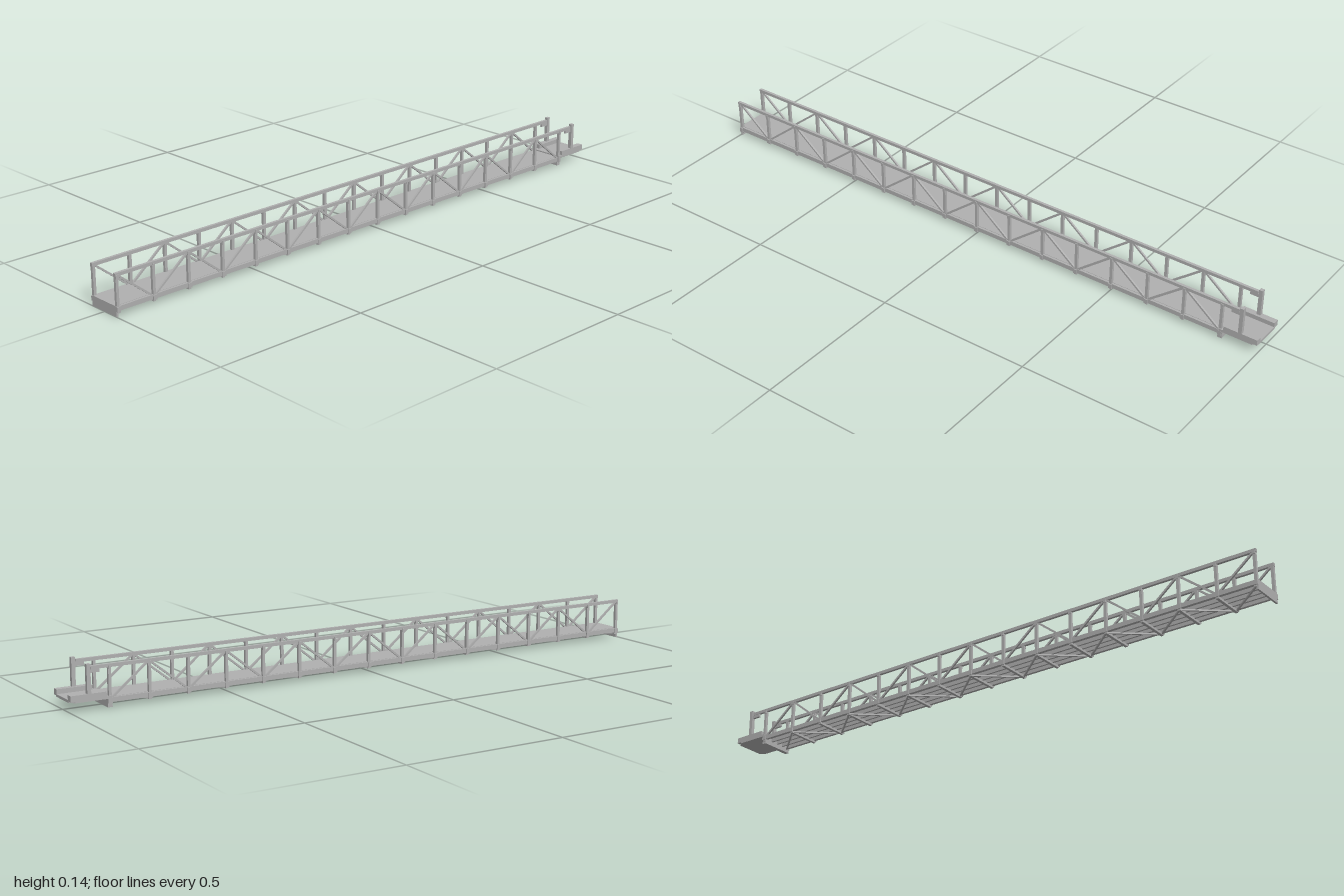
import * as THREE from 'three';

export function createModel() {
  const model = new THREE.Group();
  const steel = new THREE.MeshStandardMaterial({ color: 0xb0b0b0 });
  steel.name = 'grey steel';

  const box = (name, w, h, d, x, y, z) => {
    const m = new THREE.Mesh(new THREE.BoxGeometry(w, h, d), steel);
    m.name = name;
    m.position.set(x, y, z);
    model.add(m);
    return m;
  };
  // Square bar running between two points
  const bar = (name, a, b, w, h = w) => {
    const p = new THREE.Vector3(...a), q = new THREE.Vector3(...b);
    const mid = p.clone().add(q).multiplyScalar(0.5);
    const m = box(name, w, h, p.distanceTo(q), mid.x, mid.y, mid.z);
    m.lookAt(q);
    return m;
  };

  const panels = 15, start = 0.994, step = 0.1248;
  const zAt = i => start - i * step;
  const end = zAt(panels);
  const low = 0.024, high = 0.124, side = 0.053;

  // Walkway and the stringers that carry it
  box('deck', 0.1, 0.004, 1.875, 0, 0.03, 0.0625);
  for (const x of [-0.025, 0, 0.025]) {
    box('stringer', 0.006, 0.012, 1.87, x, 0.022, 0.0625);
  }

  // End plates closing the floor
  box('frontEndPlate', 0.112, 0.032, 0.006, 0, 0.016, 0.997);
  box('backEndBeam', 0.112, 0.024, 0.014, 0, 0.014, end);

  // Cross beams and flat zigzag bracing under the floor
  for (let i = 0; i <= panels; i++) {
    box('crossBeam', 0.114, 0.008, 0.009, 0, 0.014, zAt(i) - (i ? 0 : 0.003));
    if (i < panels) {
      const s = i % 2 ? 1 : -1;
      bar('floorBrace', [s * side, 0.014, zAt(i)], [-s * side, 0.014, zAt(i + 1)], 0.005);
    }
  }

  for (const s of [-1, 1]) {
    const x = s * side;
    // Side truss chords
    box('topChord', 0.009, 0.01, 1.935, x, high, 0.0325);
    box('bottomChord', 0.009, 0.014, 1.875, x, low, 0.0625);

    // Posts, gussets and alternating diagonals
    for (let i = 0; i <= panels; i++) {
      const z = zAt(i);
      box('post', 0.009, high - low, 0.009, x, (high + low) / 2, z);
      box('lowerGusset', 0.003, 0.015, 0.012, s * 0.059, 0.022, z);
      box('upperGusset', 0.003, 0.012, 0.008, s * 0.058, 0.118, z);
      if (i < panels) {
        const [y0, y1] = i % 2 ? [low, high] : [high, low];
        bar('diagonal', [x, y0, z], [x, y1, zAt(i + 1)], 0.006);
      }
    }

    // Landing kerb, tall end post and rail bracket
    box('landingKerb', 0.02, 0.018, 0.11, s * 0.05, 0.041, -0.945);
    box('endPost', 0.012, 0.098, 0.012, s * 0.054, 0.087, -0.943);
    box('railBracket', 0.007, 0.012, 0.03, x, 0.115, -0.924);
  }

  // Landing plate with a clipped outer edge
  const plate = new THREE.Shape([[-0.06, 0.875], [0.06, 0.875], [0.06, 0.985],
    [0.045, 1], [-0.045, 1], [-0.06, 0.985]].map(p => new THREE.Vector2(...p)));
  const landing = new THREE.Mesh(
    new THREE.ExtrudeGeometry(plate, { depth: 0.008, bevelEnabled: false }), steel);
  landing.name = 'landingPlate';
  landing.rotation.x = -Math.PI / 2;
  landing.position.y = 0.028;
  model.add(landing);

  return model;
}
